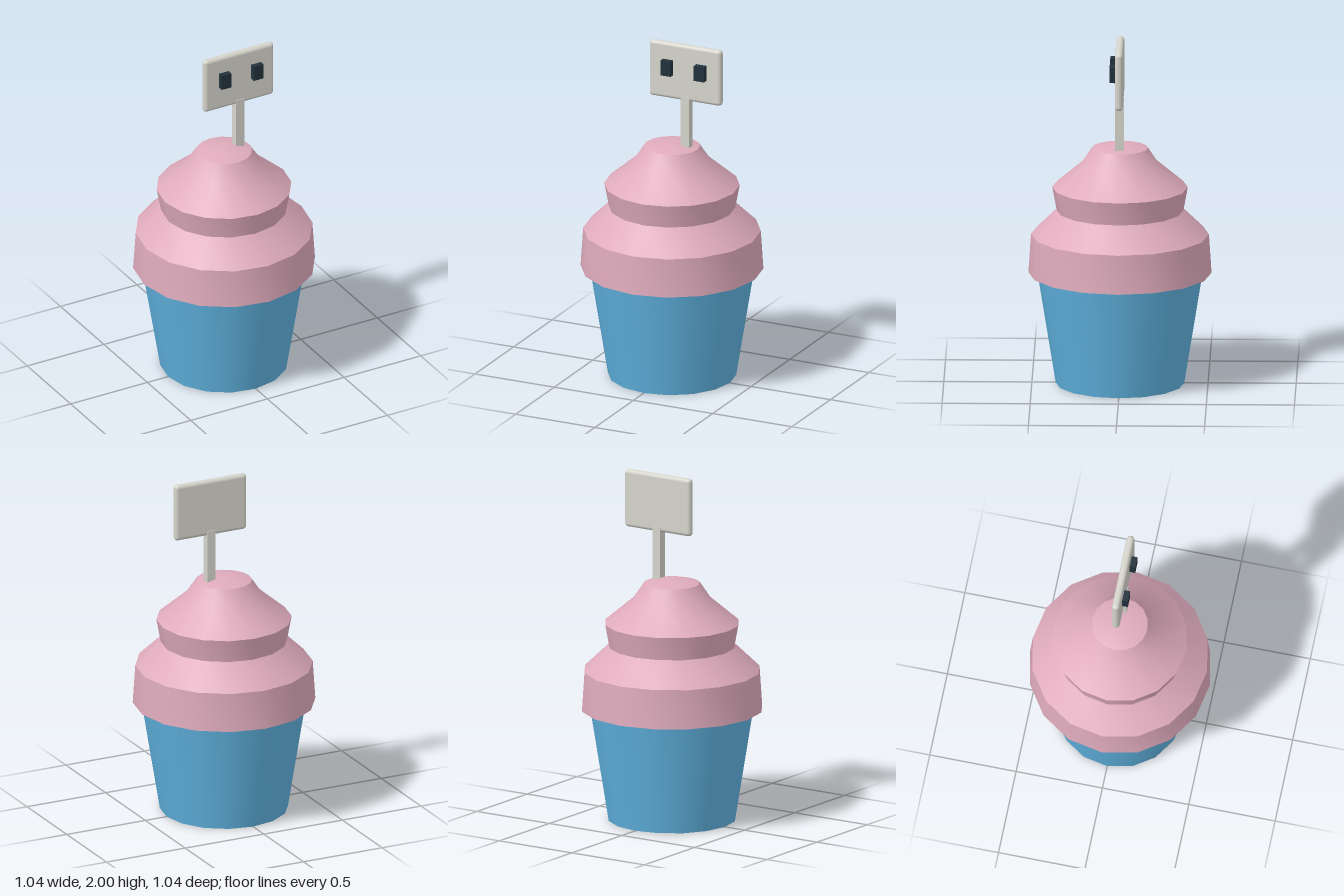
import * as THREE from 'three';
import { toCreasedNormals } from 'three/addons/utils/BufferGeometryUtils.js';
import { RoundedBoxGeometry } from 'three/addons/geometries/RoundedBoxGeometry.js';

const SIDES = 16;

function material(name, color) {
  const m = new THREE.MeshStandardMaterial({ color });
  m.name = name;
  return m;
}

export function createModel() {
  const group = new THREE.Group();
  group.name = 'cupcake';

  const blue = material('wrapper blue', 0x5fb2df);
  const pink = material('frosting pink', 0xdfabbc);
  const grey = material('sign grey', 0xd6d5cc);
  const dark = material('eye dark', 0x22323c);

  function add(name, geometry, mat, x = 0, y = 0, z = 0) {
    const mesh = new THREE.Mesh(geometry, mat);
    mesh.name = name;
    mesh.position.set(x, y, z);
    group.add(mesh);
  }

  // Tapered paper wrapper
  add('wrapper', new THREE.CylinderGeometry(0.47, 0.365, 0.65, SIDES), blue, 0, 0.325);

  // Tiered frosting with sharp edges between the bands
  const profile = [
    [0, 0.645], [0.52, 0.645], [0.505, 0.87], [0.36, 1.01],
    [0.385, 1.145], [0.22, 1.285], [0.16, 1.375], [0, 1.415],
  ].map(([r, y]) => new THREE.Vector2(r, y));
  const frosting = toCreasedNormals(new THREE.LatheGeometry(profile, SIDES), Math.PI / 6);
  add('frosting', frosting, pink);

  // Off-centre stick carrying a rounded sign
  add('stick', new THREE.BoxGeometry(0.053, 0.31, 0.05), grey, 0.092, 1.54, 0);
  add('sign', new RoundedBoxGeometry(0.455, 0.335, 0.044, 4, 0.021), grey, 0.09, 1.8325, 0);

  // Block eyes on the front of the sign
  for (const [name, x] of [['rightEye', -0.014], ['leftEye', 0.196]]) {
    add(name, new THREE.BoxGeometry(0.064, 0.09, 0.045), dark, x, 1.855, 0.0325);
  }

  return group;
}
